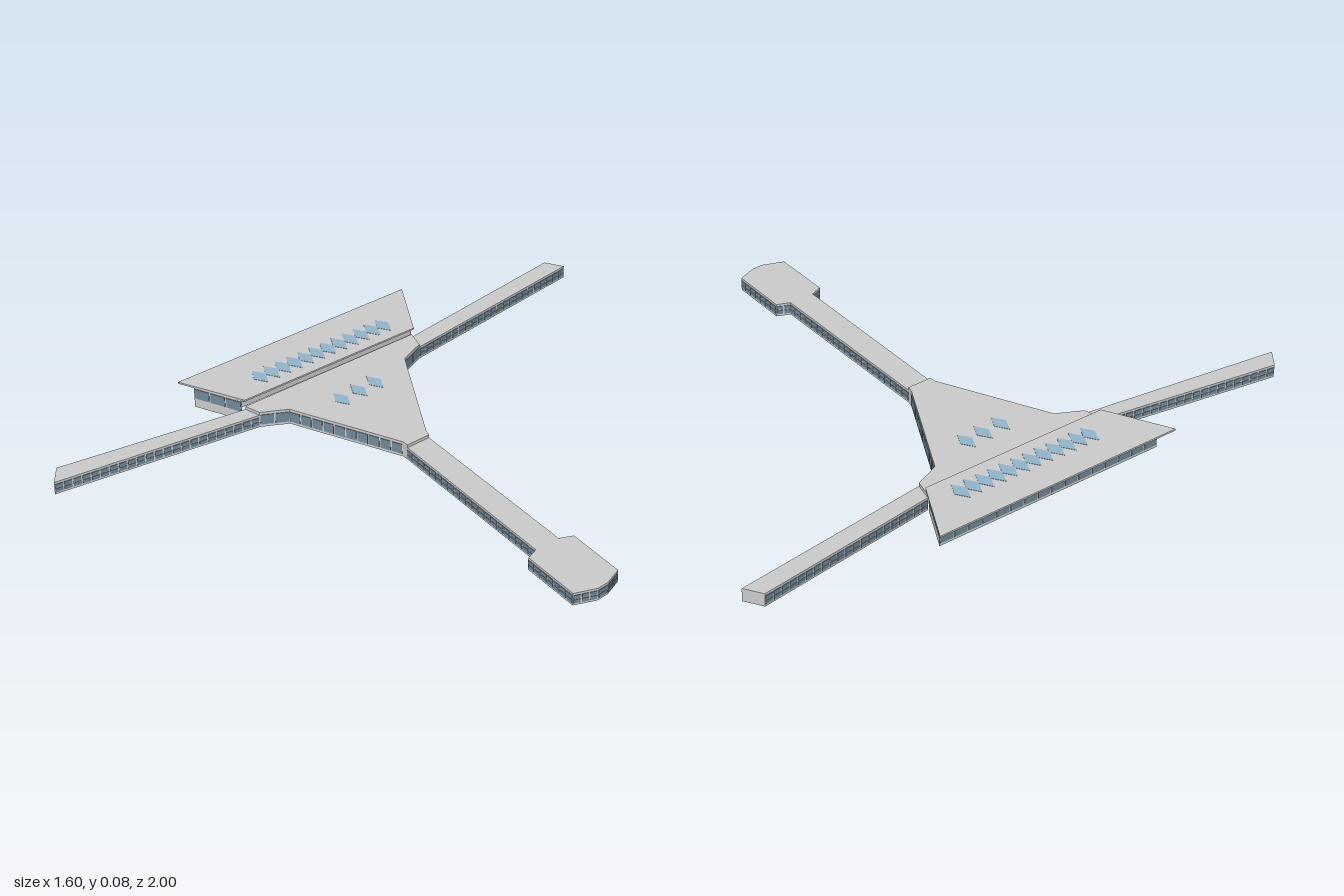
import * as THREE from 'three';
import { mergeGeometries } from 'three/addons/utils/BufferGeometryUtils.js';

const grey = new THREE.MeshStandardMaterial({ color: 0xcccccc, side: THREE.DoubleSide });
const glass = new THREE.MeshStandardMaterial({ color: 0x72899a });
const skylight = new THREE.MeshStandardMaterial({ color: 0x93b6cc });

function add(parent, name, geometry, material) {
  const mesh = new THREE.Mesh(geometry, material);
  mesh.name = name;
  parent.add(mesh);
}

// Flat slab from an [x, z] outline, between two heights
function slab(outline, bottom, top) {
  const shape = new THREE.Shape(outline.map(([x, z]) => new THREE.Vector2(x, -z)));
  return new THREE.ExtrudeGeometry(shape, { depth: top - bottom, bevelEnabled: false })
    .rotateX(-Math.PI / 2).translate(0, bottom, 0);
}

// Open-bottomed building: roof slab, one wall per outline edge, rows of panes
function building(o) {
  const group = new THREE.Group();
  group.name = o.name;
  const n = o.outline.length;
  add(group, 'roof', slab(o.roof || o.outline, o.wallTop, o.roofTop), grey);

  let area = 0;
  o.outline.forEach(([x, z], i) => {
    const [x2, z2] = o.outline[(i + 1) % n];
    area += x * z2 - x2 * z;
  });
  const outward = area < 0 ? 1 : -1;

  const walls = [], panes = [];
  o.outline.forEach(([x, z], i) => {
    if (o.open.includes(i)) return;
    const [x2, z2] = o.outline[(i + 1) % n];
    const length = Math.hypot(x2 - x, z2 - z);
    const place = (g) => g.rotateY(Math.atan2(z - z2, x2 - x))
      .translate((x + x2) / 2, 0, (z + z2) / 2);
    const base = (o.raised || {})[i] || 0;
    walls.push(place(new THREE.PlaneGeometry(length, o.wallTop - base)
      .translate(0, (o.wallTop + base) / 2, 0)));
    if ((o.blank || []).includes(i)) return;
    const count = Math.max(1, Math.round(length / o.bay));
    const step = length / count;
    for (const [low, high] of (o.rowsAt || {})[i] || o.rows) {
      for (let k = 0; k < count; k++) {
        panes.push(place(new THREE.BoxGeometry(step - 0.005, high - low, 0.002)
          .translate((k + 0.5) * step - length / 2, (low + high) / 2, outward * 0.001)));
      }
    }
  });
  add(group, 'walls', mergeGeometries(walls), grey);
  add(group, 'windows', mergeGeometries(panes), glass);
  return group;
}

// Flat diamond rooflight
function diamond(x, y, z) {
  return slab([[x - 0.042, z], [x, z + 0.024], [x + 0.042, z], [x, z - 0.024]], y, y + 0.001);
}

export function createModel() {
  const model = new THREE.Group();
  model.name = 'airportTerminal';
  const twoRows = [[0.008, 0.021], [0.025, 0.037]];
  const wing = { wallTop: 0.041, roofTop: 0.045, rows: twoRows, bay: 0.03 };

  // Tall hall with an overhanging roof and a clerestory above the concourse
  model.add(building({
    name: 'mainHall',
    outline: [[-0.75, 0.4], [-0.59, 0.335], [-0.535, -0.33], [-0.68, -0.42]],
    roof: [[-0.8, 0.425], [-0.58, 0.33], [-0.525, -0.335], [-0.725, -0.46]],
    wallTop: 0.075, roofTop: 0.081, bay: 0.05, open: [], blank: [1], raised: { 1: 0.05 },
    rows: [[0.034, 0.07]], rowsAt: { 3: [[0.01, 0.034], [0.038, 0.07]] },
  }));

  // Tapering concourse joining the hall to the pier and both wings
  model.add(building({
    name: 'concourse',
    outline: [[-0.58, 0.328], [-0.525, 0.316], [-0.475, 0.235], [-0.105, 0.085], [-0.083, 0.085],
      [-0.078, 0], [-0.1, -0.008], [-0.44, -0.22], [-0.47, -0.31], [-0.53, -0.33]],
    wallTop: 0.05, roofTop: 0.056, rows: [[0.01, 0.046]], bay: 0.042,
    open: [9], blank: [0, 3, 4, 5, 8], raised: { 0: 0.04, 4: 0.04, 8: 0.04 },
  }));

  // Long pier with a widened head
  model.add(building({
    ...wing, name: 'pier',
    outline: [[-0.08, 0], [0.553, 0.052], [0.575, 0.01], [0.777, 0.028], [0.797, 0.09], [0.797, 0.13],
      [0.765, 0.2], [0.56, 0.182], [0.547, 0.14], [-0.085, 0.085]],
    open: [9],
  }));

  // Side wings
  model.add(building({
    ...wing, name: 'leftFrontWing',
    outline: [[-0.58, 0.328], [-0.525, 0.316], [-0.674, 1], [-0.73, 0.95]],
    open: [0], blank: [2],
  }));
  model.add(building({
    ...wing, name: 'rearWing',
    outline: [[-0.53, -0.328], [-0.47, -0.31], [-0.502, -1], [-0.563, -0.967]],
    open: [0], blank: [2],
  }));

  // Rooflights: a long row over the hall and three over the concourse
  const lights = [];
  for (let i = 0; i < 12; i++) {
    const t = i / 11;
    lights.push(diamond(-0.605 - 0.043 * t, 0.081, -0.27 + 0.482 * t));
  }
  for (const z of [-0.062, 0.006, 0.077]) lights.push(diamond(-0.406, 0.056, z));
  add(model, 'skylights', mergeGeometries(lights), skylight);

  return model;
}
